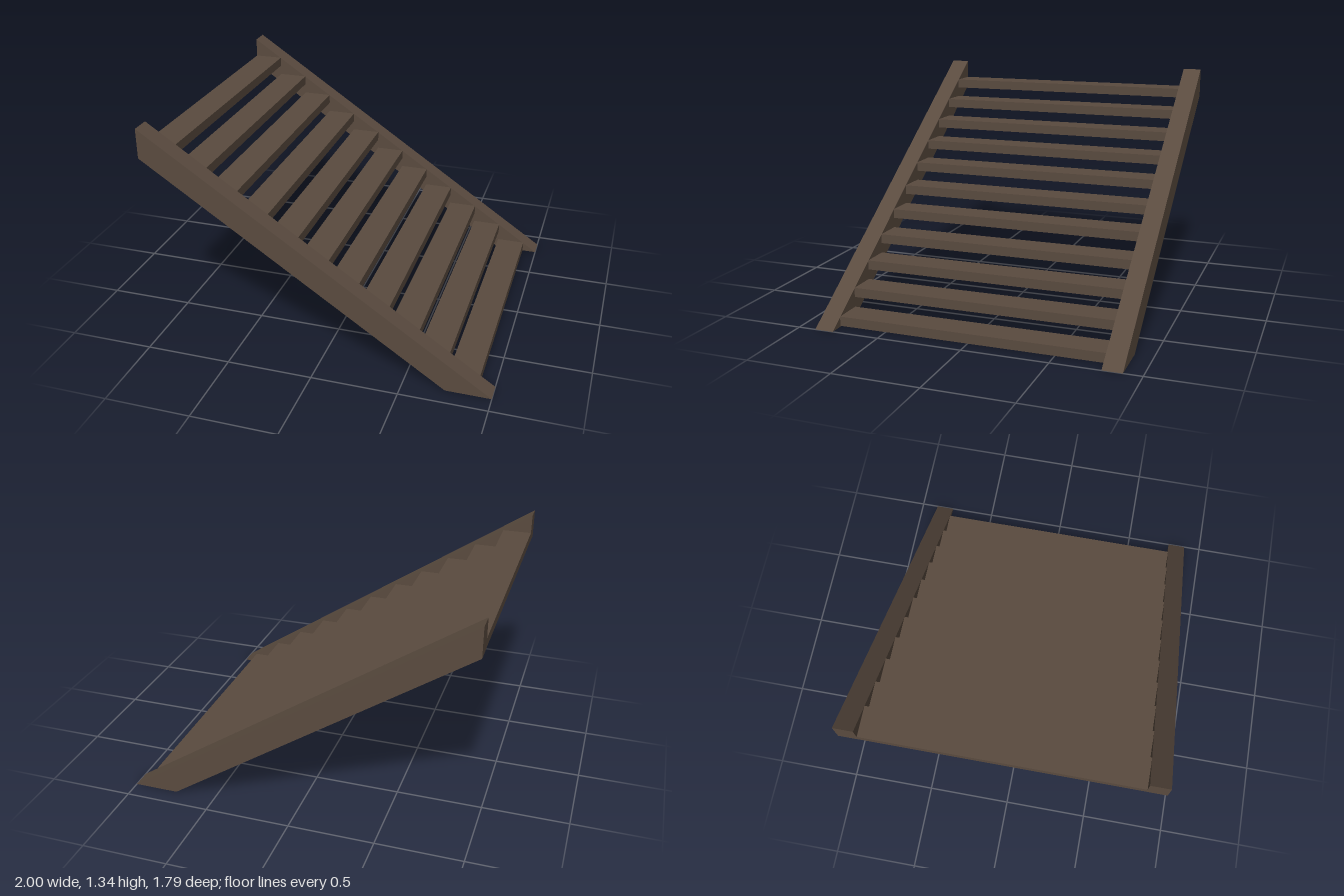
import * as THREE from 'three';

export function createModel() {
  const group = new THREE.Group();
  group.name = 'staircase';
  const wood = new THREE.MeshStandardMaterial({ color: 0x5a4b3f });
  wood.name = 'dark brown wood';

  // Sloped side boards, cut plumb at the top and level at the floor
  const profile = new THREE.Shape([
    new THREE.Vector2(0.74, 0),
    new THREE.Vector2(1, 0),
    new THREE.Vector2(-1, 1.335),
    new THREE.Vector2(-1, 1.162),
  ]);
  const width = 0.113;
  const stringerGeometry = new THREE.ExtrudeGeometry(profile, { depth: width, bevelEnabled: false });
  stringerGeometry.translate(0, 0, -width / 2);
  for (const side of [1, -1]) {
    const stringer = new THREE.Mesh(stringerGeometry, wood);
    stringer.name = side > 0 ? 'frontStringer' : 'backStringer';
    stringer.position.z = side * 0.8385;
    group.add(stringer);
  }

  // Open treads, evenly spaced between the side boards
  const count = 11;
  const run = 0.174;
  const rise = 0.116;
  const thickness = 0.056;
  const treadGeometry = new THREE.BoxGeometry(run, thickness, 1.564);
  for (let i = 0; i < count; i++) {
    const tread = new THREE.Mesh(treadGeometry, wood);
    tread.name = `tread${i + 1}`;
    tread.position.set(0.827 - i * run, 0.033 + i * rise, 0);
    group.add(tread);
  }
  return group;
}
